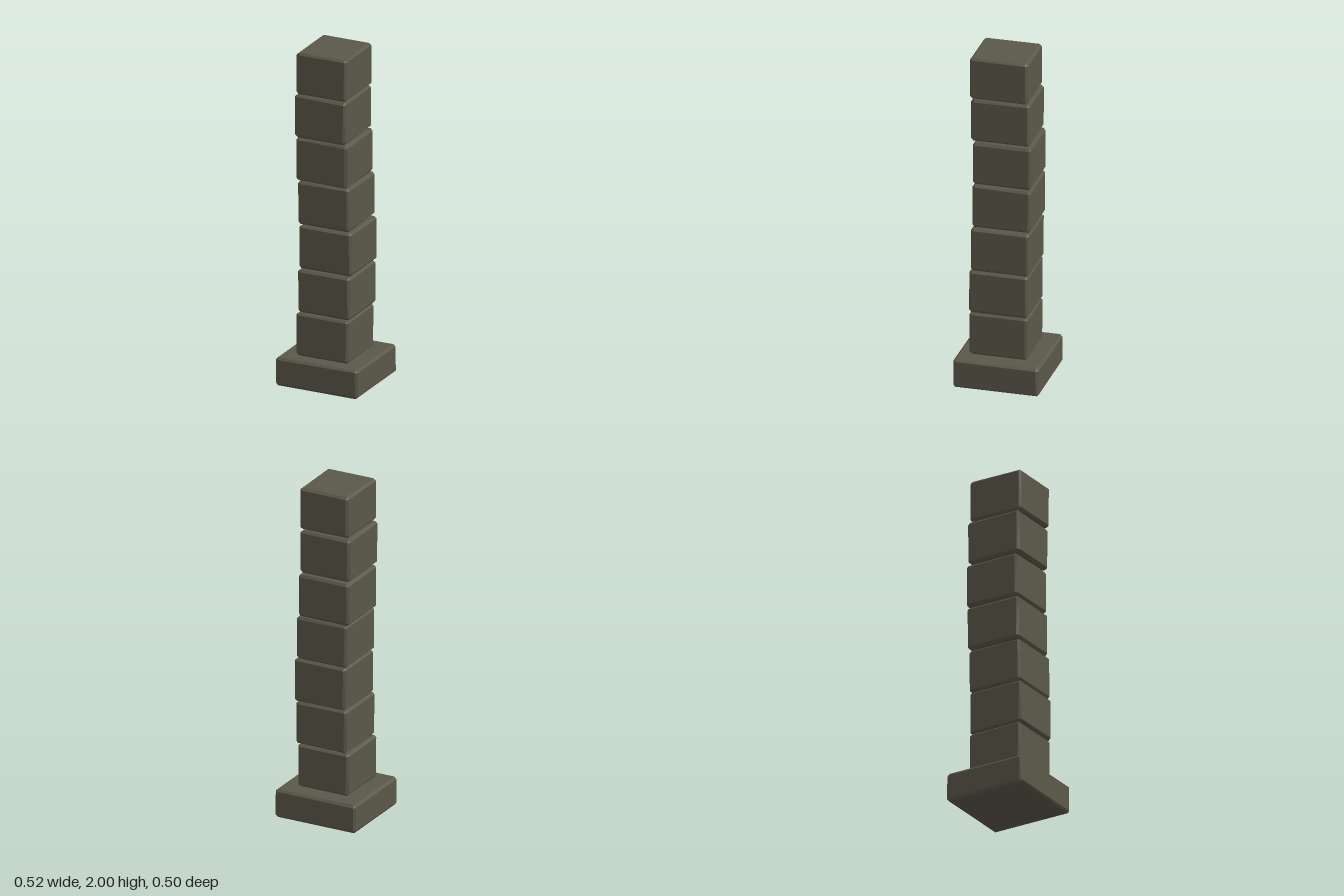
import * as THREE from 'three';
import { ConvexGeometry } from 'three/addons/geometries/ConvexGeometry.js';

// Small seeded generator for uneven chamfers
let seed = 7;
const rand = () => (seed = (seed * 16807) % 2147483647) / 2147483647;

// Box with chamfered edges, each corner cut by a slightly different amount
function chamferedBlock(x0, x1, y0, y1, z0, z1, cut) {
  const points = [];
  for (const [x, sx] of [[x0, 1], [x1, -1]])
    for (const [y, sy] of [[y0, 1], [y1, -1]])
      for (const [z, sz] of [[z0, 1], [z1, -1]]) {
        const c = () => cut * (0.75 + 0.5 * rand());
        const a = c(), b = c(), d = c();
        points.push(
          new THREE.Vector3(x, y + sy * b, z + sz * d),
          new THREE.Vector3(x + sx * a, y, z + sz * d),
          new THREE.Vector3(x + sx * a, y + sy * b, z)
        );
      }
  return new ConvexGeometry(points);
}

export function createModel() {
  seed = 7;
  const model = new THREE.Group();
  model.name = 'stonePillar';
  const stone = new THREE.MeshStandardMaterial({ color: 0x5b5849 });
  stone.name = 'darkStone';

  const add = (name, ...box) => {
    const mesh = new THREE.Mesh(chamferedBlock(...box), stone);
    mesh.name = name;
    model.add(mesh);
  };

  // Wide plinth
  add('base', -0.259, 0.257, 0, 0.17, -0.252, 0.249, 0.013);

  // Stacked blocks, each nudged sideways: x min, x max, y min, y max, z min, z max
  [
    [-0.166, 0.162, 0.173, 0.429, -0.16, 0.18],
    [-0.155, 0.172, 0.436, 0.692, -0.165, 0.179],
    [-0.152, 0.176, 0.698, 0.955, -0.172, 0.168],
    [-0.162, 0.16, 0.961, 1.218, -0.177, 0.163],
    [-0.174, 0.148, 1.222, 1.478, -0.176, 0.164],
    [-0.175, 0.143, 1.486, 1.743, -0.166, 0.176],
    [-0.163, 0.15, 1.75, 2, -0.159, 0.18],
  ].forEach((b, i) => add('block' + (i + 1), ...b, 0.013));

  return model;
}
